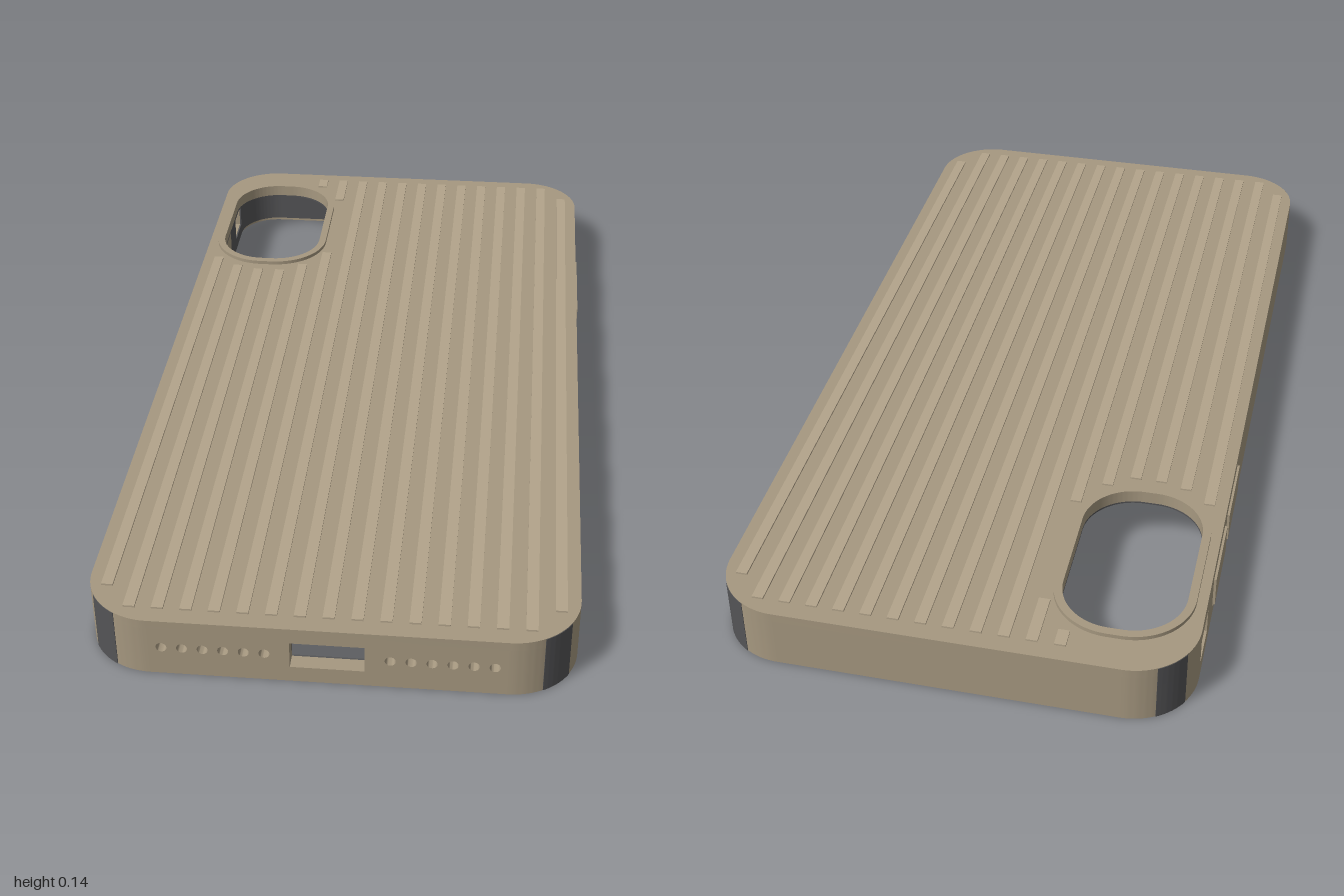
import * as THREE from 'three';
import { toCreasedNormals } from 'three/addons/utils/BufferGeometryUtils.js';

const TAN = new THREE.MeshStandardMaterial({ color: 0xa69880 });
const RIB = new THREE.MeshStandardMaterial({ color: 0xb3a48b });
const DARK = new THREE.MeshStandardMaterial({ color: 0x545456 });

const W = 0.5, L = 1, R = 0.14;              // half width, half length, corner radius
const WALL = 0.033, LINING = 0.004;          // wall and lining thickness
const TOP = 0.135, CEIL = 0.115, MID = 0.068;
const CAM = { x: -0.33, z: -0.685, w: 0.26, l: 0.43, r: 0.115 };

function roundedRect(path, cx, cy, w, h, r) {
  const x = w / 2 - r, y = h / 2 - r;
  path.absarc(cx + x, cy + y, r, 0, Math.PI / 2);
  path.absarc(cx - x, cy + y, r, Math.PI / 2, Math.PI);
  path.absarc(cx - x, cy - y, r, Math.PI, Math.PI * 1.5);
  path.absarc(cx + x, cy - y, r, Math.PI * 1.5, Math.PI * 2);
  path.closePath();
  return path;
}

function rect(path, x0, x1, y0, y1) {
  path.moveTo(x0, y0);
  path.lineTo(x1, y0);
  path.lineTo(x1, y1);
  path.lineTo(x0, y1);
  path.closePath();
  return path;
}

function extrude(shape, depth) {
  const geo = new THREE.ExtrudeGeometry(shape, { depth, bevelEnabled: false, curveSegments: 16 });
  return toCreasedNormals(geo, 0.5);
}

// Horizontal slab from a plan shape (shape y is -z)
function slab(shape, y0, y1) {
  return extrude(shape, y1 - y0).rotateX(-Math.PI / 2).translate(0, y0, 0);
}

function add(parent, name, geo, mat) {
  const mesh = new THREE.Mesh(geo, mat);
  mesh.name = name;
  parent.add(mesh);
  return mesh;
}

function cameraHole(grow = 0, path = new THREE.Path()) {
  return roundedRect(path, CAM.x, -CAM.z, CAM.w + grow * 2, CAM.l + grow * 2, CAM.r + grow);
}

function plate(inset, y0, y1) {
  const s = roundedRect(new THREE.Shape(), 0, 0, (W - inset) * 2, (L - inset) * 2, R - inset);
  s.holes.push(cameraHole());
  return slab(s, y0, y1);
}

// Sector of a ring, centred on the origin
function arcBand(rOut, rIn, a0, a1) {
  const s = new THREE.Shape();
  s.absarc(0, 0, rOut, a0, a1, false);
  s.absarc(0, 0, rIn, a1, a0, true);
  s.closePath();
  return s;
}

// Straight wall facing local +z, with a lining behind it sharing the same openings
function wall(parent, name, half, dist, angle, openings, buttons = []) {
  const g = new THREE.Group();
  g.name = name;
  g.rotation.y = angle;
  const panel = (y0) => {
    const s = rect(new THREE.Shape(), -half, half, y0, CEIL);
    openings.forEach(o => s.holes.push(o()));
    buttons.forEach(([a, b]) => s.holes.push(rect(new THREE.Path(), a - 0.003, b + 0.003, 0.032, 0.107)));
    return s;
  };
  add(g, name + 'Shell', extrude(panel(0), WALL).translate(0, 0, dist - WALL), TAN);
  add(g, name + 'Lining', extrude(panel(0.008), LINING).translate(0, 0, dist - WALL - LINING), DARK);
  buttons.forEach(([a, b]) => {
    const depth = WALL + LINING + 0.006;
    const m = add(g, 'sideButton', new THREE.BoxGeometry(b - a, 0.07, depth), TAN);
    m.position.set((a + b) / 2, 0.07, dist + 0.005 - depth / 2);
  });
  parent.add(g);
}

export function createModel() {
  const model = new THREE.Group();
  model.name = 'phoneCase';

  // Back plate and its soft lining
  add(model, 'backPlate', plate(0, CEIL, TOP), TAN);
  add(model, 'backLining', plate(WALL, CEIL - LINING, CEIL), DARK);

  // Raised rim around the camera opening
  const rim = cameraHole(0.018, new THREE.Shape());
  rim.holes.push(cameraHole());
  add(model, 'cameraRim', slab(rim, TOP - 0.002, 0.144), TAN);

  // Front wall: charging port and two rows of speaker holes
  const front = [() => rect(new THREE.Path(), -0.075, 0.075, 0.037, 0.099)];
  for (const side of [-1, 1]) {
    for (let i = 0; i < 6; i++) {
      front.push(() => new THREE.Path().absarc(side * (0.126 + i * 0.0415), MID, 0.011, 0, Math.PI * 2));
    }
  }
  wall(model, 'frontWall', W - R, L, 0, front);
  wall(model, 'backWall', W - R, L, Math.PI, []);

  // Side walls: one long button on the left, two buttons and a switch window on the right
  wall(model, 'leftWall', L - R, W, Math.PI / 2, [], [[0.338, 0.595]]);
  wall(model, 'rightWall', L - R, W, -Math.PI / 2,
    [() => rect(new THREE.Path(), -0.855, -0.76, 0.038, 0.1)],
    [[-0.675, -0.5], [-0.462, -0.285]]);

  // Rounded corners with their lining and dark bumper strips
  for (let i = 0; i < 4; i++) {
    const a = i * Math.PI / 2;
    const sx = i === 0 || i === 3 ? 1 : -1, sz = i < 2 ? -1 : 1;
    const g = new THREE.Group();
    g.name = 'corner';
    g.position.set(sx * (W - R), 0, sz * (L - R));
    const rIn = R - WALL;
    add(g, 'cornerWall', slab(arcBand(R, rIn, a, a + Math.PI / 2), 0, CEIL), TAN);
    add(g, 'cornerLining', slab(arcBand(rIn, rIn - LINING, a, a + Math.PI / 2), 0.008, CEIL), DARK);
    add(g, 'cornerBumper', slab(arcBand(R + 0.001, R - 0.004, a + Math.PI / 6, a + Math.PI / 3), 0, TOP - 0.001), DARK);
    model.add(g);
  }

  // Grip ribs along the back, interrupted around the camera
  const starts = { '-8': -0.475, '-7': -0.435, '-6': -0.42, '-5': -0.42, '-4': -0.455, '-3': -0.525 };
  const stubs = { '-4': -0.92, '-3': -0.84 };
  const rib = (x, z0, z1) => {
    const m = add(model, 'gripRib', new THREE.BoxGeometry(0.024, 0.008, z1 - z0), RIB);
    m.position.set(x, 0.135, (z0 + z1) / 2);
  };
  for (let i = -8; i <= 8; i++) {
    const x = i * 0.0575;
    const end = Math.abs(i) === 8 ? 0.9 : 0.962;
    rib(x, starts[i] ?? -end, end);
    if (stubs[i]) rib(x, -end, stubs[i]);
  }

  return model;
}
